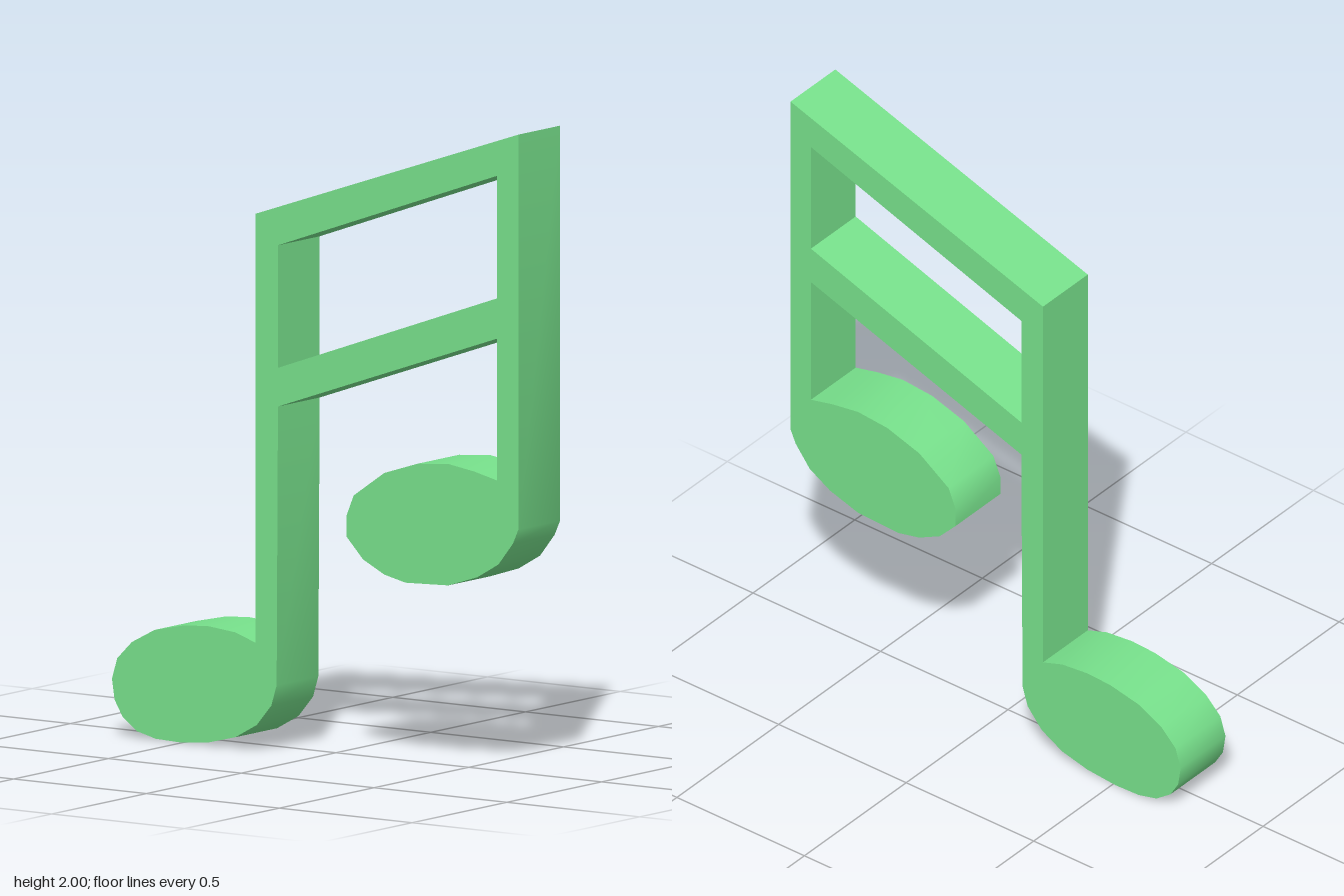
import * as THREE from 'three';
import { toCreasedNormals } from 'three/addons/utils/BufferGeometryUtils.js';

const DEPTH = 0.22;
const vectors = (points) => points.map(([x, y]) => new THREE.Vector2(x, y));

export function createModel() {
  const group = new THREE.Group();
  group.name = 'beamedNotes';

  // Lower left note head, from the stem's outer side round to its inner side
  const leftHead = [
    [-0.225, 0.335], [-0.3, 0.36], [-0.4, 0.37], [-0.49, 0.365], [-0.605, 0.34],
    [-0.69, 0.295], [-0.745, 0.24], [-0.765, 0.175], [-0.755, 0.11], [-0.725, 0.06],
    [-0.67, 0.02], [-0.6, 0.003], [-0.51, 0], [-0.4, 0.01], [-0.3, 0.035],
    [-0.22, 0.08], [-0.165, 0.145], [-0.145, 0.21],
  ];

  // Higher right note head, from the stem's inner side round to its outer side
  const rightHead = [
    [0.685, 0.92], [0.6, 0.94], [0.5, 0.955], [0.385, 0.945], [0.26, 0.905],
    [0.145, 0.825], [0.118, 0.76], [0.118, 0.695], [0.18, 0.63], [0.26, 0.59],
    [0.34, 0.572], [0.5, 0.578], [0.61, 0.613], [0.69, 0.66], [0.745, 0.73],
    [0.765, 0.775],
  ];

  // Heads, stems and beams share one silhouette
  const outline = new THREE.Shape(vectors([
    ...leftHead,
    [-0.14, 1.075], [0.685, 1.36], // underside of the lower beam
    ...rightHead,
    [0.765, 2], [-0.225, 1.665], // top of the upper beam
  ]));

  // Opening between the two beams
  outline.holes.push(new THREE.Path(vectors([
    [-0.14, 1.575], [0.685, 1.865], [0.685, 1.485], [-0.14, 1.195],
  ])));

  const geometry = new THREE.ExtrudeGeometry(outline, { depth: DEPTH, bevelEnabled: false });
  geometry.translate(0, 0, -DEPTH / 2);

  const notes = new THREE.Mesh(
    toCreasedNormals(geometry, 0.75),
    new THREE.MeshStandardMaterial({ color: 0x77e08b }),
  );
  notes.name = 'headsStemsAndBeams';
  group.add(notes);
  return group;
}
